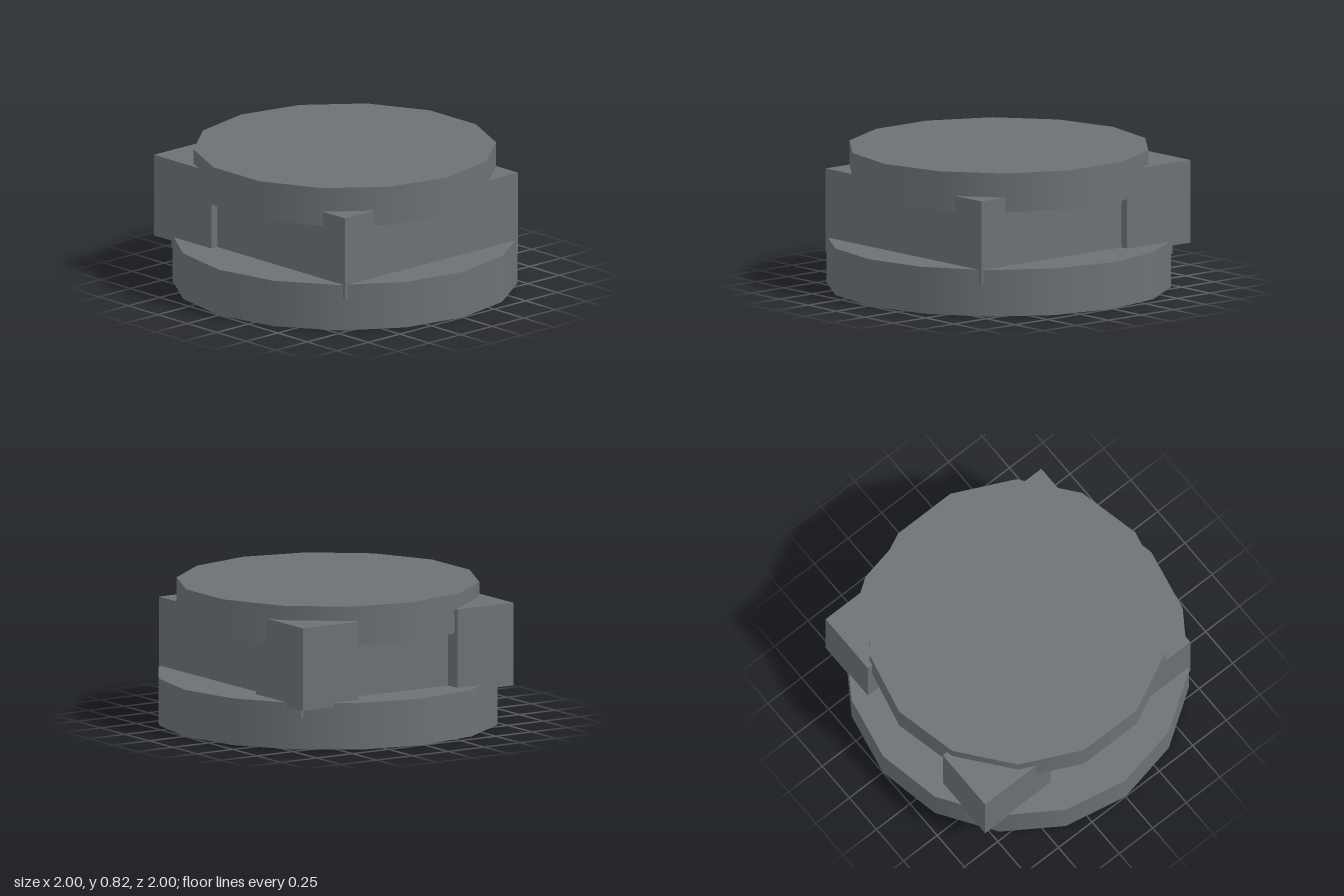
import * as THREE from 'three';

export function createModel() {
  const group = new THREE.Group();
  const slate = new THREE.MeshStandardMaterial({ color: 0x6b7175, side: THREE.DoubleSide });
  slate.name = 'slate grey';

  const add = (name, geometry, x, y, z) => {
    const mesh = new THREE.Mesh(geometry, slate);
    mesh.name = name;
    mesh.position.set(x, y, z);
    group.add(mesh);
  };
  // Box given by its minimum and maximum corners
  const addBox = (name, [x0, y0, z0], [x1, y1, z1]) =>
    add(name, new THREE.BoxGeometry(x1 - x0, y1 - y0, z1 - z0),
      (x0 + x1) / 2, (y0 + y1) / 2, (z0 + z1) / 2);

  // Base drum: 16-sided smooth wall, closed on top and open underneath
  const baseHeight = 0.275;
  add('baseWall', new THREE.CylinderGeometry(1, 1, baseHeight, 16, 1, true), 0, baseHeight / 2, 0);
  const lid = new THREE.CircleGeometry(1, 16);
  lid.rotateX(-Math.PI / 2);
  add('baseTop', lid, 0, baseHeight, 0);

  // Square core, whose corners just break through the drum wall
  addBox('coreBlock', [-0.735, 0.19, -0.687], [0.735, 0.68, 0.687]);

  // Two larger corner blocks, mirrored front to back
  addBox('frontCornerBlock', [-0.833, 0.25, 0.345], [-0.345, 0.737, 0.735]);
  addBox('backCornerBlock', [-0.833, 0.25, -0.735], [-0.345, 0.737, -0.345]);

  // Cap disc: 14 sides with a corner on the x axis
  add('capDisc', new THREE.CylinderGeometry(0.88, 0.88, 0.23, 14, 1, false, Math.PI / 2), 0, 0.707, 0);

  return group;
}
